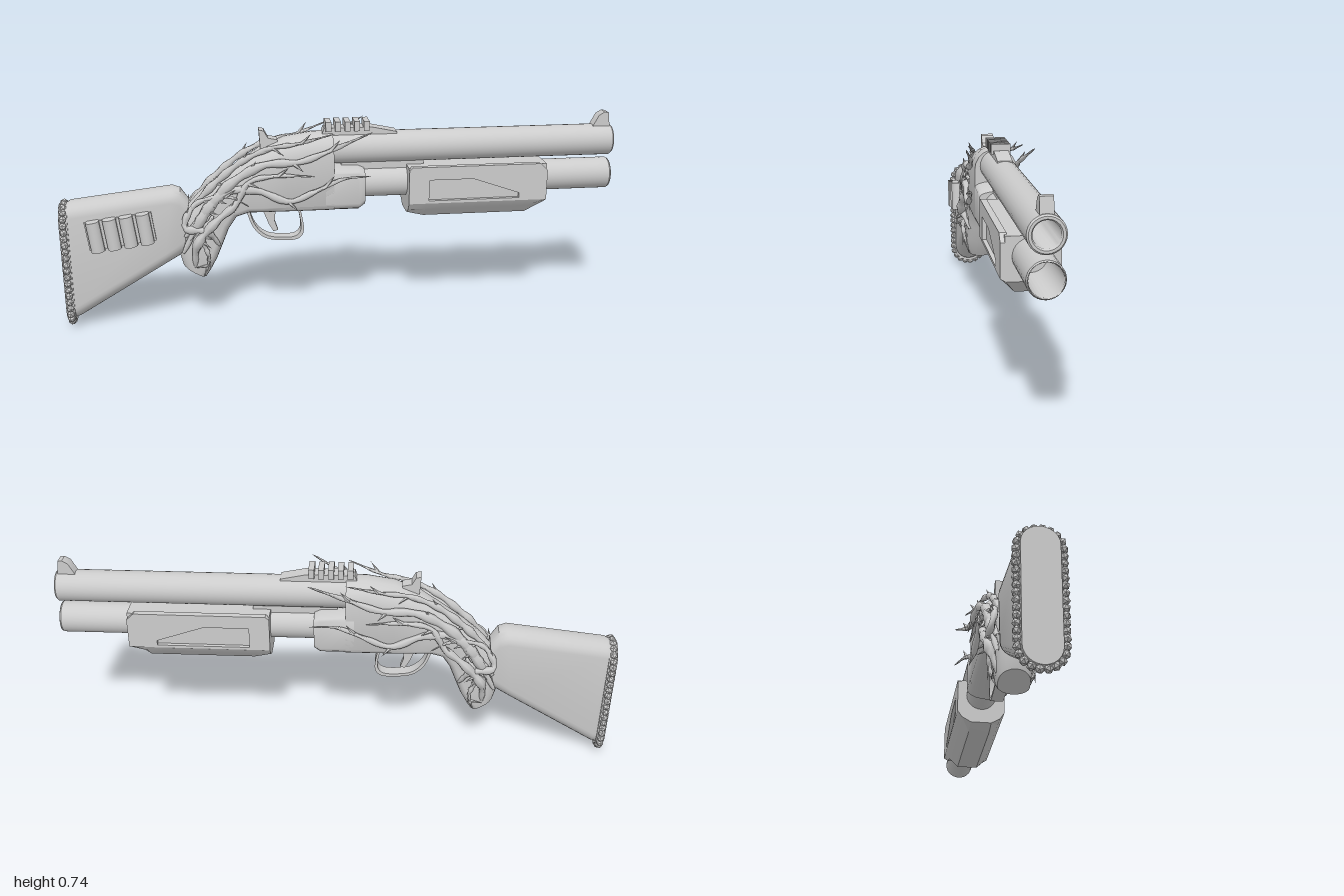
import * as THREE from 'three';
import { toCreasedNormals } from 'three/addons/utils/BufferGeometryUtils.js';

const material = new THREE.MeshStandardMaterial({ color: 0xcccccc });
const V = (x, y, z) => new THREE.Vector3(x, y, z);

function add(parent, name, geometry, crease = 0.6) {
  const mesh = new THREE.Mesh(toCreasedNormals(geometry, crease), material);
  mesh.name = name;
  parent.add(mesh);
  return mesh;
}

// Side profile in x/y, extruded symmetrically about z = 0
function slab(points, width, hole) {
  const shape = new THREE.Shape(points.map(p => new THREE.Vector2(...p)));
  if (hole) shape.holes.push(new THREE.Path(hole.map(p => new THREE.Vector2(...p))));
  return new THREE.ExtrudeGeometry(shape, { depth: width, bevelEnabled: false }).translate(0, 0, -width / 2);
}

// Skin over stations [topX, topY, bottomX, bottomY, halfWidth], with rounded top and bottom
function loft(stations, topRound, bottomRound, k = 10) {
  const pos = [], idx = [], n = 2 * (k + 1);
  for (const [tx, ty, bx, by, w] of stations) {
    const h = Math.hypot(tx - bx, ty - by);
    const rt = Math.min(topRound, h / 2), rb = Math.min(bottomRound, h / 2);
    for (let j = 0; j < n; j++) {
      const top = j <= k;
      const a = -Math.PI / 2 + Math.PI * (top ? j : j - 1) / k;
      const f = (top ? h - rt + rt * Math.cos(a) : rb + rb * Math.cos(a)) / h;
      pos.push(bx + (tx - bx) * f, by + (ty - by) * f, w * Math.sin(a));
    }
  }
  const last = stations.length - 1;
  for (let i = 0; i < last; i++) for (let j = 0; j < n; j++) {
    const a = i * n + j, b = i * n + (j + 1) % n;
    idx.push(a, b, a + n, b, b + n, a + n);
  }
  // End caps
  for (const i of [0, last]) {
    const [tx, ty, bx, by] = stations[i], c = pos.length / 3;
    pos.push((tx + bx) / 2, (ty + by) / 2, 0);
    for (let j = 0; j < n; j++) {
      const a = i * n + j, b = i * n + (j + 1) % n;
      if (i) idx.push(c, a, b); else idx.push(c, b, a);
    }
  }
  const g = new THREE.BufferGeometry();
  g.setAttribute('position', new THREE.Float32BufferAttribute(pos, 3));
  g.setIndex(idx);
  return g;
}

// Hollow tube along x, open at the muzzle
function hollowTube(x0, x1, y, r, bore) {
  const profile = [[0, x0], [r, x0], [r, x1 - 0.006], [r - 0.005, x1], [bore + 0.004, x1], [bore, x1 - 0.006], [bore, x1 - 0.4], [0, x1 - 0.4]];
  return new THREE.LatheGeometry(profile.map(p => new THREE.Vector2(...p)), 28)
    .rotateZ(-Math.PI / 2).translate(0, y, 0);
}

// Tapering branch with thorns
function vine(parent, points, radius) {
  const curve = new THREE.CatmullRomCurve3(points), segs = 36, sides = 6;
  const g = new THREE.TubeGeometry(curve, segs, radius, sides), p = g.attributes.position;
  const v = V(0, 0, 0);
  for (let i = 0; i <= segs; i++) {
    const t = i / segs, c = curve.getPointAt(t);
    const s = Math.min(1, 0.3 + 4 * t) * Math.pow(1 - t, 0.6) * (1 + 0.2 * Math.sin(i * 1.3));
    for (let j = 0; j <= sides; j++) {
      const n = i * (sides + 1) + j;
      v.fromBufferAttribute(p, n).lerp(c, 1 - s);
      p.setXYZ(n, v.x, v.y, v.z);
    }
  }
  add(parent, 'vine', g, 1.2);
  [0.22, 0.42, 0.62, 0.8].forEach((t, i) => {
    const thorn = add(parent, 'thorn', new THREE.ConeGeometry(radius * 0.45, 0.05, 5).translate(0, 0.025, 0));
    const side = Math.sign(points[0].z);
    const dir = curve.getTangentAt(t).add(V(0, i % 2 ? 0.9 : -0.9, side * 0.35)).normalize();
    thorn.position.copy(curve.getPointAt(t));
    thorn.quaternion.setFromUnitVectors(V(0, 1, 0), dir);
  });
}

export function createModel() {
  const model = new THREE.Group();
  model.name = 'shotgun';

  // Barrel and magazine tube
  add(model, 'barrel', hollowTube(-0.08, 0.997, 0.635, 0.057, 0.04));
  add(model, 'magazineTube', hollowTube(0, 0.995, 0.507, 0.057, 0.05));
  add(model, 'barrelBand', slab([[0, 0.54], [0.997, 0.54], [0.997, 0.6], [0, 0.6]].map(([x, y]) => [Math.min(x, 0.3), y]), 0.05));

  // Receiver running back into the curved grip
  add(model, 'receiverAndGrip', loft([
    [-0.575, 0.22, -0.49, 0.172, 0.052], [-0.588, 0.27, -0.475, 0.195, 0.058],
    [-0.585, 0.36, -0.45, 0.24, 0.058], [-0.56, 0.43, -0.425, 0.3, 0.056],
    [-0.51, 0.485, -0.405, 0.35, 0.057], [-0.45, 0.535, -0.375, 0.395, 0.06],
    [-0.38, 0.585, -0.33, 0.41, 0.067], [-0.29, 0.645, -0.28, 0.41, 0.073],
    [-0.2, 0.682, -0.2, 0.41, 0.076], [-0.1, 0.697, -0.1, 0.41, 0.077], [-0.03, 0.697, -0.03, 0.41, 0.077],
  ], 0.075, 0.03));
  add(model, 'lowerReceiver', loft([
    [-0.06, 0.58, -0.06, 0.41, 0.077], [0.06, 0.575, 0.06, 0.41, 0.077], [0.082, 0.565, 0.082, 0.425, 0.073],
  ], 0.02, 0.035));

  // Sliding fore grip with recessed side panels
  const slide = new THREE.Group();
  slide.name = 'foreGrip';
  model.add(slide);
  const half = [[0.078, 0.57], [0.078, 0.45], [0.092, 0.44], [0.075, 0.415], [0.04, 0.38]];
  const section = [...half, ...half.map(([z, y]) => [-z, y]).reverse()];
  const core = new THREE.ExtrudeGeometry(
    new THREE.Shape(section.map(([z, y]) => new THREE.Vector2(-z, y))),
    { depth: 0.505, steps: 8, bevelEnabled: false }).rotateY(Math.PI / 2).translate(0.237, 0, 0);
  const cp = core.attributes.position;
  for (let i = 0; i < cp.count; i++) {
    if (cp.getX(i) > 0.73) cp.setY(i, Math.max(cp.getY(i), 0.43));
    if (cp.getX(i) < 0.25) cp.setY(i, Math.max(cp.getY(i), 0.395));
  }
  add(slide, 'foreGripCore', core, 0.3);
  for (const s of [1, -1]) {
    const plate = slab(
      [[0.237, 0.44], [0.742, 0.44], [0.742, 0.55], [0.715, 0.575], [0.25, 0.575], [0.237, 0.565]], 0.022,
      [[0.31, 0.45], [0.64, 0.45], [0.64, 0.468], [0.47, 0.527], [0.31, 0.527]]);
    add(slide, 'foreGripSidePlate', plate).position.z = s * 0.081;
  }

  // Stock and butt plate
  add(model, 'stock', loft([
    [-0.972, 0.465, -0.972, 0.03, 0.056], [-0.955, 0.474, -0.95, 0.038, 0.06],
    [-0.6, 0.515, -0.64, 0.222, 0.06], [-0.572, 0.505, -0.6, 0.245, 0.056], [-0.545, 0.465, -0.555, 0.27, 0.045],
  ], 0.05, 0.055, 12));
  add(model, 'buttPlate', loft([
    [-0.996, 0.462, -0.996, 0.022, 0.058], [-0.965, 0.466, -0.965, 0.022, 0.062],
  ], 0.055, 0.06, 12));

  // Faceted beads around the butt
  const beads = new THREE.Group();
  beads.name = 'buttBeads';
  model.add(beads);
  const ring = [];
  for (let i = 0; i <= 8; i++) ring.push(V(-0.98, 0.4 + 0.064 * Math.sin(i * Math.PI / 8), 0.069 * Math.cos(i * Math.PI / 8)));
  for (let i = 0; i <= 8; i++) ring.push(V(-0.98, 0.085 - 0.07 * Math.sin(i * Math.PI / 8), -0.069 * Math.cos(i * Math.PI / 8)));
  ring.push(ring[0].clone());
  const path = new THREE.CurvePath();
  for (let i = 1; i < ring.length; i++) path.add(new THREE.LineCurve3(ring[i - 1], ring[i]));
  for (let i = 0; i < 44; i++) {
    const bead = add(beads, 'bead', new THREE.IcosahedronGeometry(0.0145, 0), 0.1);
    bead.position.copy(path.getPointAt(i / 44));
    bead.rotation.set(i * 1.7, i * 0.9, 0);
  }

  // Spare shells on the side of the stock
  const shells = new THREE.Group();
  shells.name = 'shellHolder';
  shells.position.set(-0.785, 0.372, 0.06);
  shells.rotation.z = 0.13;
  model.add(shells);
  add(shells, 'holderPanel', new THREE.BoxGeometry(0.235, 0.106, 0.016));
  for (let i = 0; i < 4; i++) {
    const shell = add(shells, 'shell', new THREE.CylinderGeometry(0.024, 0.024, 0.112, 14));
    shell.position.set(-0.087 + i * 0.058, 0, 0.016);
  }

  // Trigger guard and trigger
  const guard = inset => new THREE.SplineCurve([[-0.345, 0.43], [-0.32, 0.355], [-0.275, 0.31], [-0.21, 0.298], [-0.155, 0.303], [-0.135, 0.34], [-0.15, 0.43]]
    .map(([x, y]) => new THREE.Vector2(-0.235 + (x + 0.235) * (1 - inset * 9), 0.43 + (y - 0.43) * (1 - inset * 8))))
    .getPoints(28).map(p => [p.x, p.y]);
  add(model, 'triggerGuard', slab([...guard(0), ...guard(0.011).reverse()], 0.044));
  add(model, 'trigger', slab([[-0.285, 0.42], [-0.235, 0.42], [-0.24, 0.37], [-0.228, 0.335], [-0.245, 0.33], [-0.262, 0.36]], 0.022));

  // Top rail and sights
  add(model, 'railBase', slab([[-0.075, 0.67], [-0.06, 0.712], [0.11, 0.712], [0.2, 0.693], [0.2, 0.67]], 0.052));
  for (let i = 0; i < 5; i++) {
    add(model, 'railTooth', slab([[-0.01, 0.7], [0.01, 0.7], [0.01, 0.735], [-0.01, 0.735]], 0.068)).position.x = -0.045 + i * 0.034;
  }
  add(model, 'frontSight', slab([[0.92, 0.68], [0.945, 0.728], [0.965, 0.74], [0.98, 0.738], [0.988, 0.68]], 0.04));
  add(model, 'rearSight', slab([[-0.285, 0.63], [-0.29, 0.712], [-0.272, 0.708], [-0.258, 0.682], [-0.225, 0.675], [-0.225, 0.64]], 0.045));

  // Thorny vines climbing both sides
  const vines = [
    [0.022, [-0.56, 0.34, 0.058], [-0.48, 0.44, 0.068], [-0.4, 0.53, 0.072], [-0.28, 0.6, 0.082], [-0.15, 0.61, 0.088], [-0.04, 0.65, 0.09], [0.1, 0.718, 0.122]],
    [0.02, [-0.57, 0.28, 0.06], [-0.5, 0.41, 0.07], [-0.42, 0.5, 0.072], [-0.31, 0.51, 0.08], [-0.19, 0.465, 0.085], [-0.1, 0.5, 0.09], [0, 0.545, 0.098], [0.095, 0.56, 0.124]],
    [0.016, [-0.54, 0.44, 0.045], [-0.45, 0.53, 0.045], [-0.35, 0.61, 0.05], [-0.25, 0.655, 0.06], [-0.16, 0.67, 0.07], [-0.03, 0.71, 0.1]],
    [0.02, [-0.53, 0.22, 0.05], [-0.52, 0.31, 0.075], [-0.45, 0.4, 0.085], [-0.38, 0.46, 0.08], [-0.33, 0.54, 0.082], [-0.24, 0.56, 0.083], [-0.1, 0.555, 0.09]],
    [0.016, [-0.44, 0.3, 0.05], [-0.48, 0.36, 0.075], [-0.56, 0.38, 0.075], [-0.52, 0.46, 0.06], [-0.4, 0.49, 0.085], [-0.33, 0.45, 0.085]],
    [0.014, [-0.46, 0.42, 0.07], [-0.5, 0.34, 0.075], [-0.48, 0.26, 0.07], [-0.5, 0.18, 0.045]],
  ];
  for (const s of [1, -1]) {
    const side = new THREE.Group();
    side.name = s > 0 ? 'frontVines' : 'backVines';
    model.add(side);
    for (const [r, ...pts] of vines) vine(side, pts.map(([x, y, z]) => V(x, y, z * s)), r);
  }
  return model;
}
